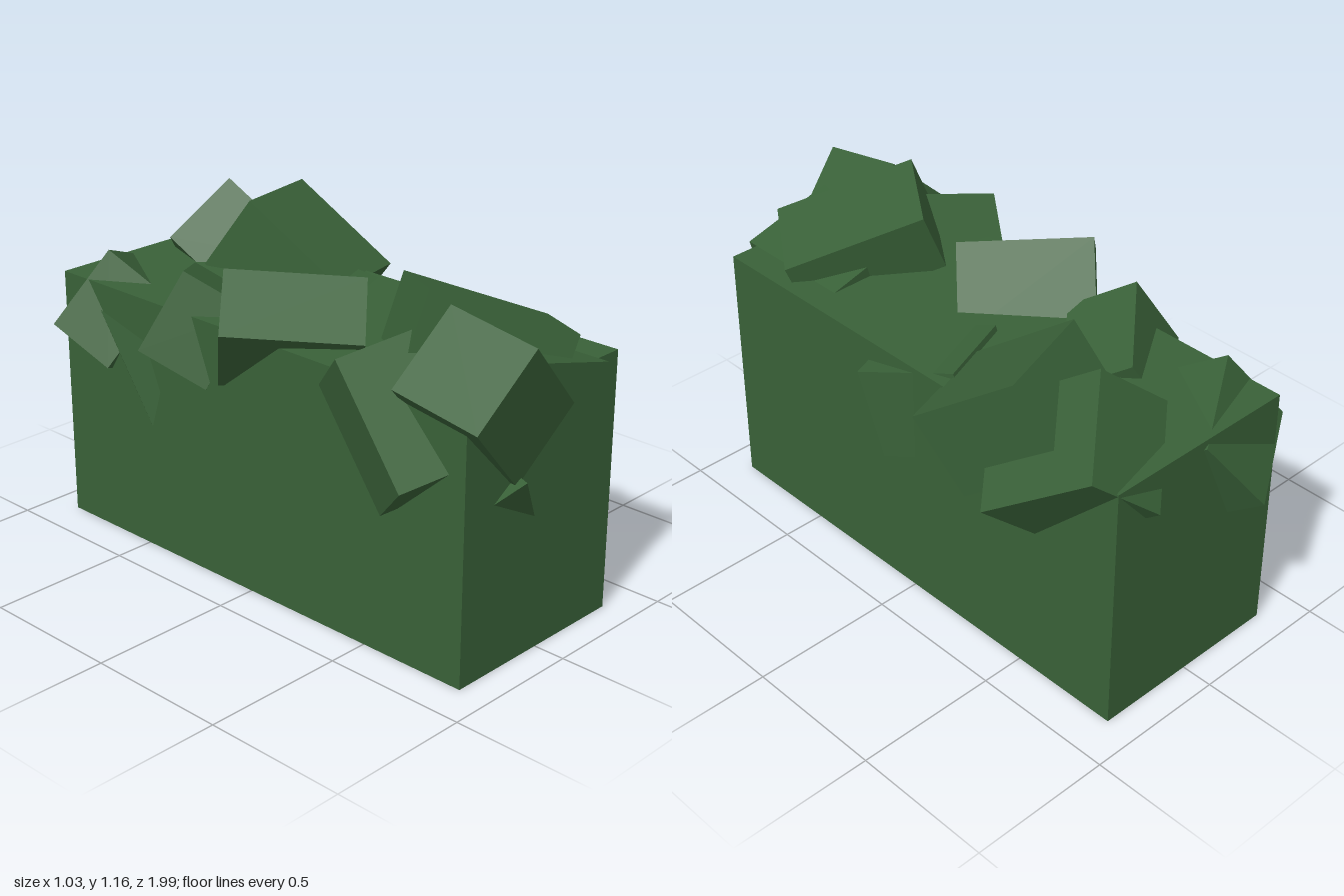
import * as THREE from 'three';
import { ConvexGeometry } from 'three/addons/geometries/ConvexGeometry.js';

const leafGreen = new THREE.MeshStandardMaterial({ color: 0x396138 });
leafGreen.name = 'leafGreen';

const vec = (a) => new THREE.Vector3(...a);

// A box given by one corner of its outer face, the two neighbouring corners, and its depth into the hedge
function leafBlock(name, corner, next, side, depth) {
  const p = vec(corner);
  const u = vec(next).sub(p), v = vec(side).sub(p);
  const width = u.length(), height = v.length();
  u.normalize();
  v.addScaledVector(u, -v.dot(u)).normalize();
  const n = u.clone().cross(v);
  const outward = p.clone().sub(new THREE.Vector3(0, 0.55, p.z * 0.7));
  if (n.dot(outward) < 0) n.negate();

  const mesh = new THREE.Mesh(new THREE.BoxGeometry(width, height, depth), leafGreen);
  mesh.name = name;
  const zAxis = u.clone().cross(v);
  mesh.quaternion.setFromRotationMatrix(new THREE.Matrix4().makeBasis(u, v, zAxis));
  mesh.position.copy(p)
    .addScaledVector(u, width / 2)
    .addScaledVector(v, height / 2)
    .addScaledVector(n, -depth / 2);
  return mesh;
}

// A pointed leaf tip poking out of a wall
function leafTip(name, points) {
  const mesh = new THREE.Mesh(new ConvexGeometry(points.map(vec)), leafGreen);
  mesh.name = name;
  return mesh;
}

export function createModel() {
  const hedge = new THREE.Group();
  hedge.name = 'hedge';

  // Clipped body
  const body = new THREE.Mesh(new THREE.BoxGeometry(0.71, 0.89, 1.78), leafGreen);
  body.name = 'hedgeBody';
  body.position.set(-0.005, 0.445, 0);
  hedge.add(body);

  // Unruly tufts along the top: name, corner, next corner, side corner, depth
  const tufts = [
    ['frontTopTuft', [-0.03, 1.11, 0.35], [-0.21, 1.16, 0.61], [0.31, 0.95, 0.66], 0.22],
    ['frontFaceTuft', [-0.4, 0.86, 0.96], [-0.18, 1.07, 0.99], [-0.14, 0.61, 0.91], 0.32],
    ['frontInnerTuft', [0.25, 0.89, 0.93], [0.25, 0.89, 0.48], [-0.12, 0.99, 0.93], 0.19],
    ['frontRightTuft', [-0.47, 0.98, 0.48], [-0.51, 0.655, 0.77], [-0.2, 1.04, 0.585], 0.24],
    ['middleRightTuft', [-0.2, 0.91, 0.35], [-0.51, 0.94, 0.03], [-0.07, 1.065, 0.22], 0.32],
    ['rearRightTuft', [-0.35, 1.03, -0.3], [-0.09, 0.94, -0.53], [-0.49, 0.78, -0.37], 0.25],
    ['backCornerTuft', [-0.19, 0.62, -1.0], [-0.02, 0.865, -0.9], [-0.48, 0.72, -0.84], 0.24],
    ['rearLeftTuft', [0.42, 1.12, -0.53], [0.07, 1.14, -0.43], [0.52, 0.87, -0.19], 0.3],
    ['backLeftTuft', [0.43, 0.95, -0.86], [0.52, 0.695, -0.5], [0.2, 1.145, -0.67], 0.29],
    ['leftWallTuft', [0.42, 0.815, 0.17], [0.39, 0.51, 0.09], [0.3, 0.9, -0.15], 0.3],
  ];
  for (const tuft of tufts) hedge.add(leafBlock(...tuft));

  // Small tips on the front and right walls
  hedge.add(leafTip('frontTip', [[-0.24, 0.555, 0.88], [-0.15, 0.63, 0.95], [-0.03, 0.46, 0.89], [-0.12, 0.63, 0.88]]));
  hedge.add(leafTip('rightWallTip', [[-0.38, 0.46, -0.44], [-0.4, 0.82, -0.66], [-0.34, 0.62, -0.62], [-0.34, 0.7, -0.4]]));

  return hedge;
}
